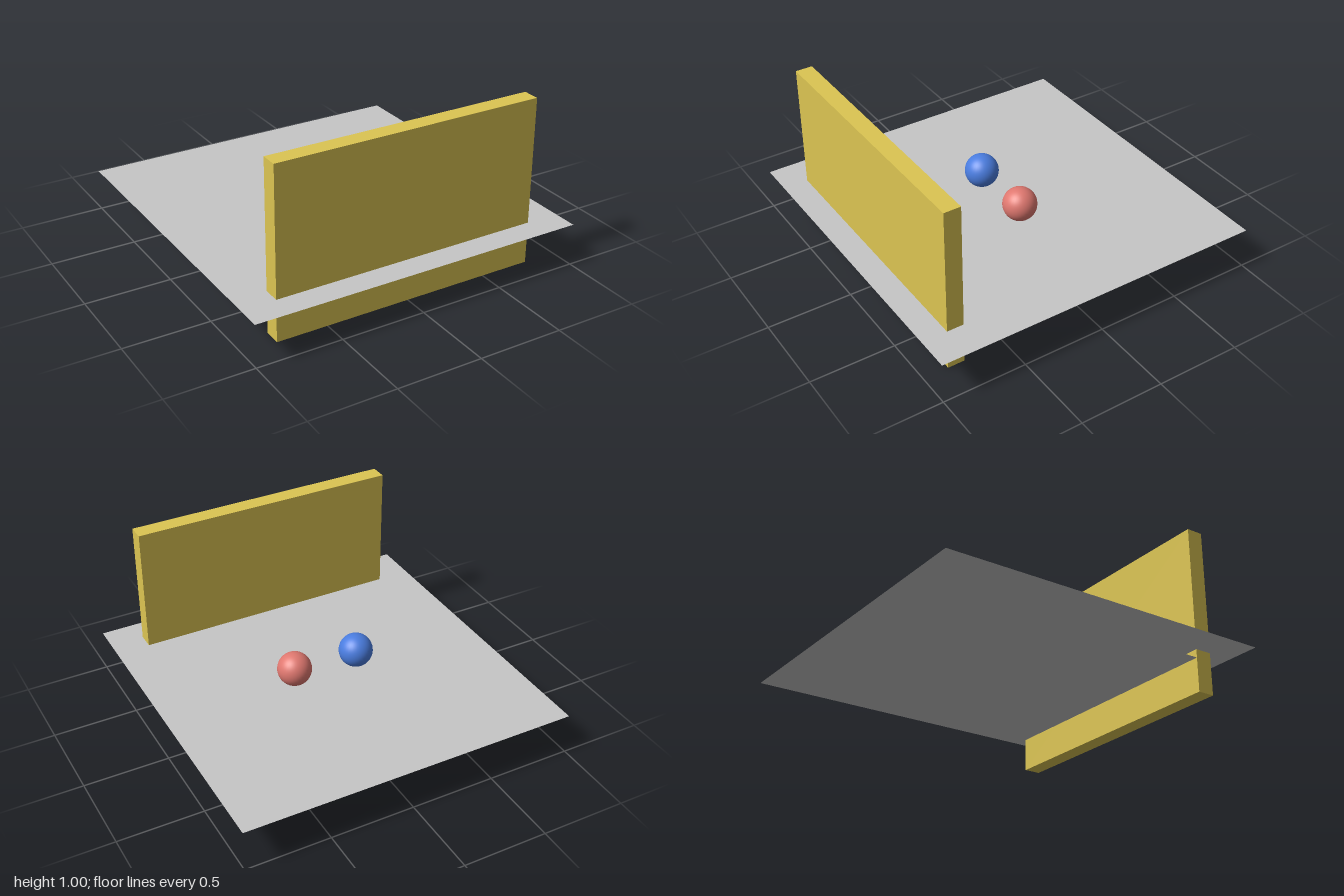
import * as THREE from 'three';

export function createModel() {
  const model = new THREE.Group();

  const paint = (name, color, extra = {}) => new THREE.MeshStandardMaterial({ name, color, ...extra });
  const grey = paint('grey', 0xc6c6c6, { side: THREE.DoubleSide });
  const yellow = paint('yellow', 0xdcc552);
  const red = paint('red', 0xe07870);
  const blue = paint('blue', 0x4a7de0);

  const add = (name, geometry, material, x, y, z) => {
    const mesh = new THREE.Mesh(geometry, material);
    mesh.name = name;
    mesh.position.set(x, y, z);
    model.add(mesh);
  };

  // Thin horizontal sheets: the floor and a smaller one just beneath it
  const sheet = (size) => new THREE.PlaneGeometry(size, size).rotateX(-Math.PI / 2);
  add('floor', sheet(2), grey, 0, 0.25, 0);
  add('lowerFloor', sheet(1.6), grey, 0, 0.2, 0);

  // Wall passing through the floor near the front edge
  add('wall', new THREE.BoxGeometry(1.6, 1, 0.1), yellow, 0, 0.5, 0.8);

  // Balls resting on the floor
  const ball = new THREE.SphereGeometry(0.1, 32, 32);
  add('leftBall', ball, red, 0.2, 0.35, 0);
  add('rightBall', ball, blue, -0.2, 0.35, 0);

  return model;
}
